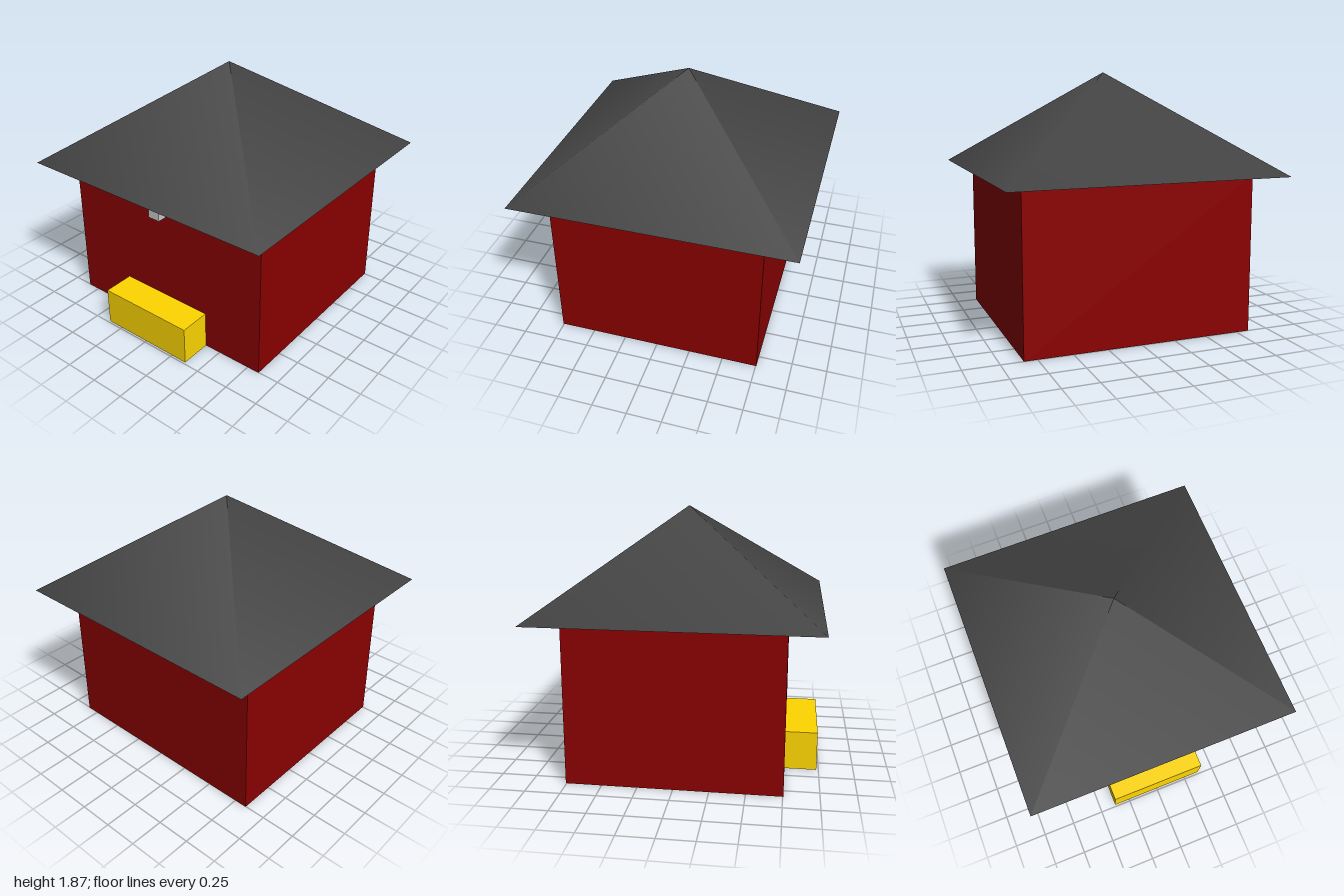
import * as THREE from 'three';

const material = (color) => new THREE.MeshStandardMaterial({ color });

export function createModel() {
  const model = new THREE.Group();
  model.name = 'house';

  const add = (name, geometry, color, x, y, z) => {
    const mesh = new THREE.Mesh(geometry, material(color));
    mesh.name = name;
    mesh.position.set(x, y, z);
    model.add(mesh);
    return mesh;
  };

  // Walls, a hair above the ground so the step's underside stays visible
  const wallTop = 1.155;
  add('walls', new THREE.BoxGeometry(1.69, wallTop - 0.002, 1.51), 0x8b0000, 0, (wallTop + 0.002) / 2, 0);

  // Four-sided pyramid roof with a closed underside
  const roofHeight = 0.715;
  add('roof', new THREE.ConeGeometry(Math.SQRT2, roofHeight, 4, 1, false, Math.PI / 4),
    0x444444, 0, wallTop + roofHeight / 2, 0);

  // Front step, set partly into the wall
  add('frontStep', new THREE.BoxGeometry(0.75, 0.285, 0.375), 0xffd700, 0, 0.1425, 0.7975);

  // Lamp hanging under the eaves
  add('lampRod', new THREE.CylinderGeometry(0.009, 0.009, 0.06, 12), 0x222222, 0, 1.135, 0.793);
  add('lamp', new THREE.BoxGeometry(0.094, 0.15, 0.094), 0xcccccc, 0, 1.04, 0.793);

  return model;
}
